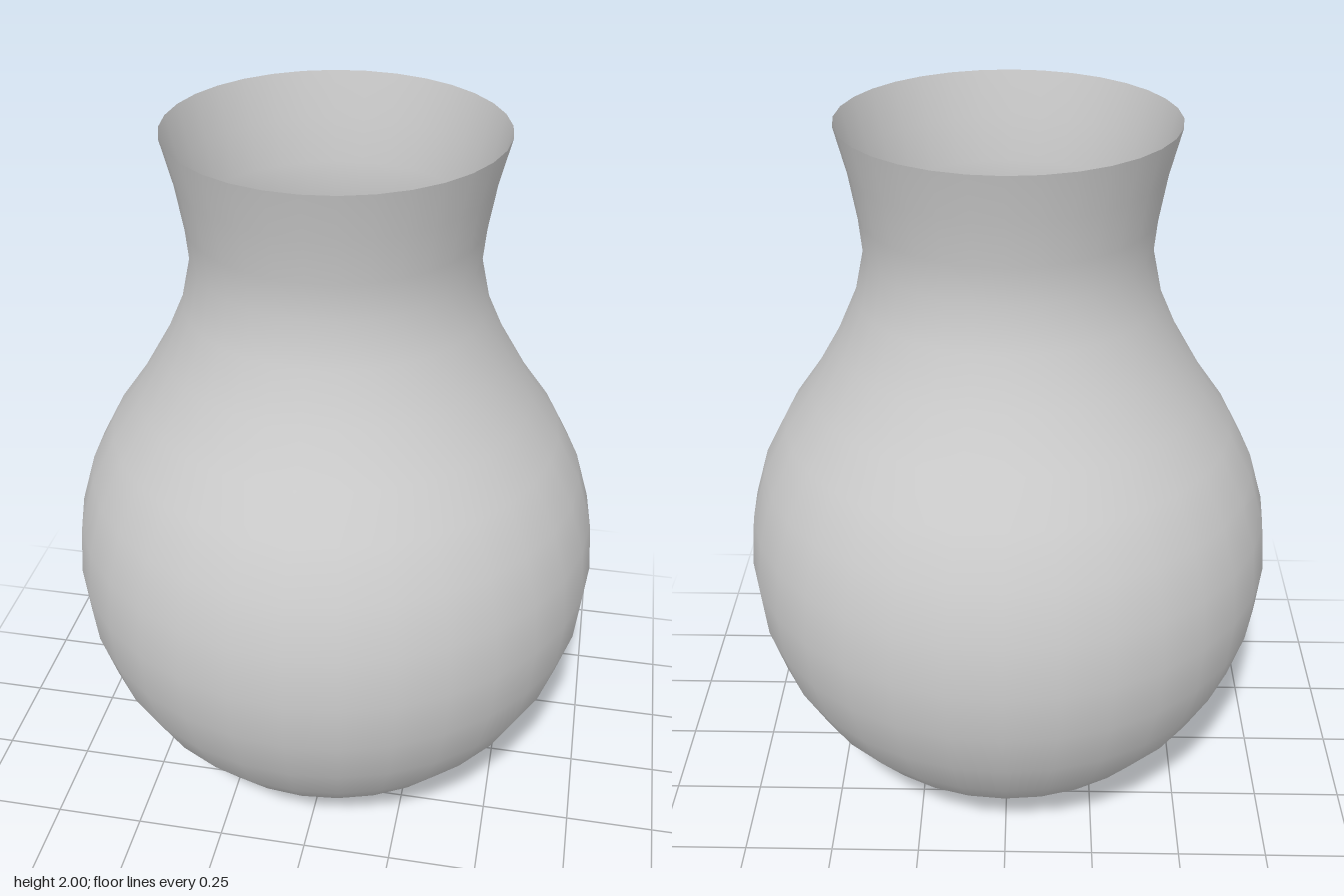
import * as THREE from 'three';

export function createModel() {
  const group = new THREE.Group();
  const material = new THREE.MeshStandardMaterial({ color: 0xcccccc, side: THREE.DoubleSide });

  // Round belly: rings of a slightly tall sphere, from the bottom pole up to the shoulder
  const radius = 0.735, halfHeight = 0.75, centreY = 0.755;
  const profile = [];
  for (let k = 0; k <= 11; k++) {
    const a = (k * Math.PI) / 16;
    profile.push(new THREE.Vector2(radius * Math.sin(a), centreY - halfHeight * Math.cos(a)));
  }
  profile[0].set(0, 0);

  // Shoulder, narrow neck and flared open rim
  const neck = [[0.535, 1.28], [0.46, 1.41], [0.402, 1.54], [0.376, 1.66], [0.385, 1.76], [0.405, 1.88], [0.435, 2]];
  neck.forEach(([r, y]) => profile.push(new THREE.Vector2(r, y)));

  // Thin-walled open vase
  const vase = new THREE.Mesh(new THREE.LatheGeometry(profile, 32), material);
  vase.name = 'vaseBody';
  group.add(vase);
  return group;
}
